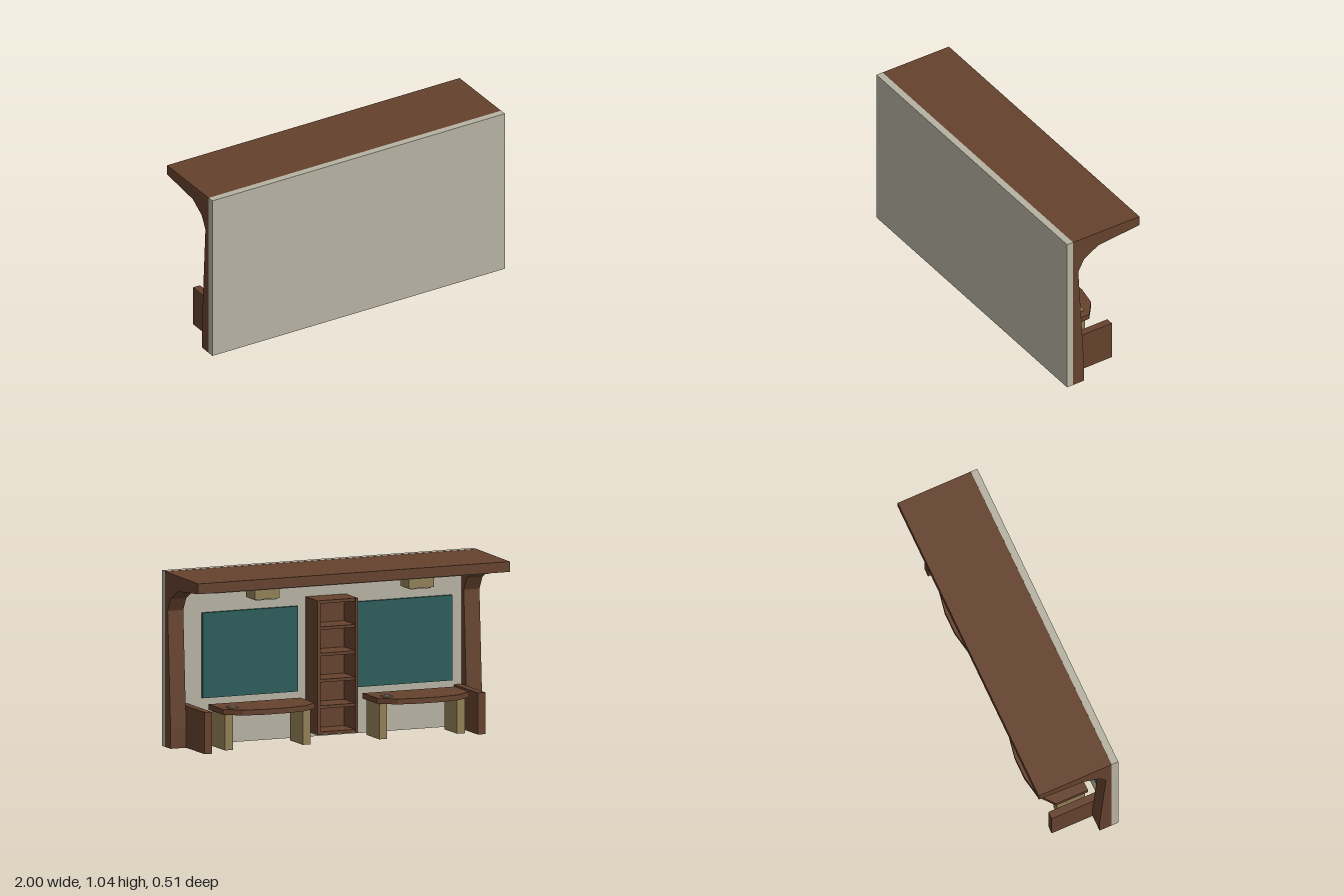
import * as THREE from 'three';

const mat = (name, color, side = THREE.FrontSide) => {
  const m = new THREE.MeshStandardMaterial({ color, side });
  m.name = name;
  return m;
};

export function createModel() {
  const model = new THREE.Group();
  model.name = 'deskWall';

  const stone = mat('pale stone', 0xb7b2a2);
  const wood = mat('brown wood', 0x65412d);
  const teal = mat('teal board', 0x2b5c5b);
  const tan = mat('tan', 0x917f56);

  const add = (name, geometry, material, parent = model) => {
    const mesh = new THREE.Mesh(geometry, material);
    mesh.name = name;
    parent.add(mesh);
    return mesh;
  };

  // Box given by its limits on each axis
  const box = (name, material, [x0, x1], [y0, y1], [z0, z1], parent) => {
    const g = new THREE.BoxGeometry(x1 - x0, y1 - y0, z1 - z0);
    g.translate((x0 + x1) / 2, (y0 + y1) / 2, (z0 + z1) / 2);
    return add(name, g, material, parent);
  };

  // Side profile of [z, y] points, extruded along x
  const sideExtrude = (points, x0, x1) => {
    const shape = new THREE.Shape(points.map(([z, y]) => new THREE.Vector2(-z, y)));
    return new THREE.ExtrudeGeometry(shape, { depth: x1 - x0, bevelEnabled: false })
      .rotateY(Math.PI / 2).translate(x0, 0, 0);
  };

  // Wall
  box('wall', stone, [-1, 1], [0, 1.04], [0.213, 0.255]);

  // Curved end frames
  const frame = [
    [0.213, 0], [0.135, 0], [0.135, 0.12], [0.143, 0.25], [0.176, 0.81],
    [0.135, 0.885], [0.035, 0.945], [-0.255, 0.972], [-0.255, 1.033], [0.213, 1.039],
  ];
  add('leftFrame', sideExtrude(frame, 0.9, 1), wood);
  add('rightFrame', sideExtrude(frame, -1, -0.9), wood);

  // Canopy and its ceiling panel
  const canopy = [[0.213, 0.971], [-0.255, 0.972], [-0.255, 1.033], [0.213, 1.039]];
  add('canopy', sideExtrude(canopy, -0.9, 0.9), wood);
  box('ceilingPanel', stone, [-0.88, 0.88], [0.963, 0.972], [-0.22, 0.2]);

  // Low end partitions
  box('leftPartition', wood, [0.853, 0.9], [0, 0.247], [-0.127, 0.213]);
  box('rightPartition', wood, [-0.9, -0.853], [0, 0.247], [-0.127, 0.213]);

  // Bookcase
  const bookcase = new THREE.Group();
  bookcase.name = 'bookcase';
  model.add(bookcase);
  const t = 0.018;
  box('side', wood, [0.1 - t, 0.1], [0.035, 0.83], [0.04, 0.213], bookcase);
  box('side', wood, [-0.16, -0.16 + t], [0.035, 0.83], [0.04, 0.213], bookcase);
  box('back', wood, [-0.16 + t, 0.1 - t], [0.035, 0.83], [0.2, 0.213], bookcase);
  for (let i = 0; i < 6; i++) {
    const y = 0.035 + i * (0.795 - t) / 5;
    box('shelf', wood, [-0.16 + t, 0.1 - t], [y, y + t], [0.041, 0.2], bookcase);
  }

  // Bow-fronted desk top outline, as [x, z]
  const outline = [
    [-0.295, 0.14], [0.295, 0.14], [0.295, -0.065], [0.2, -0.142],
    [0.07, -0.166], [-0.07, -0.166], [-0.2, -0.142], [-0.295, -0.065],
  ];

  // Two identical work bays, one on each side of the bookcase
  for (const [name, x] of [['leftBay', 0.46], ['rightBay', -0.53]]) {
    const bay = new THREE.Group();
    bay.name = name;
    bay.position.x = x;
    model.add(bay);

    const shape = new THREE.Shape(outline.map(([px, pz]) => new THREE.Vector2(px, -pz)));
    const top = new THREE.ExtrudeGeometry(shape, { depth: 0.032, bevelEnabled: false })
      .rotateX(-Math.PI / 2).translate(0, 0.215, 0);
    add('deskTop', top, wood, bay);
    box('deskLeg', tan, [0.225, 0.275], [0, 0.215], [-0.05, 0.13], bay);
    box('deskLeg', tan, [-0.275, -0.225], [0, 0.215], [-0.05, 0.13], bay);

    // Small fitting on the desk
    box('fittingBase', tan, [0.192, 0.248], [0.247, 0.254], [-0.061, -0.005], bay);
    box('fittingTop', stone, [0.208, 0.232], [0.254, 0.26], [-0.045, -0.021], bay);

    // Wall board
    box('board', teal, [-0.305, 0.305], [0.275, 0.78], [0.195, 0.213], bay);

    // Ceiling lamp
    box('lampBox', tan, [-0.08, 0.08], [0.877, 0.963], [-0.042, 0.081], bay);
    box('lampPlate', stone, [-0.065, 0.065], [0.87, 0.877], [-0.03, 0.069], bay);
  }

  return model;
}
